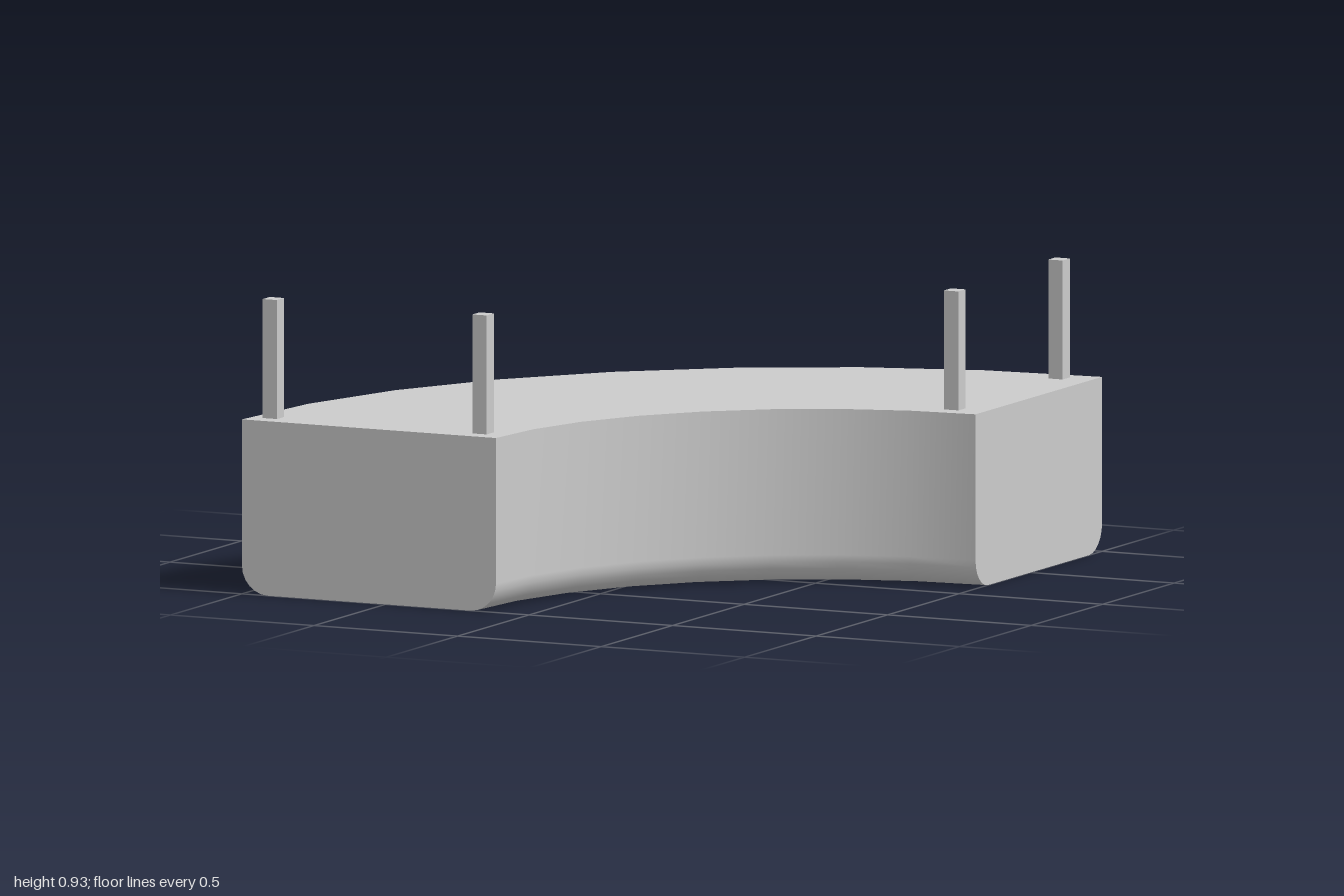
import * as THREE from 'three';

const INNER = 1.115, OUTER = 2, HEIGHT = 0.55, FILLET = 0.09, SEGMENTS = 8;

export function createModel() {
  const model = new THREE.Group();
  const material = new THREE.MeshStandardMaterial({ color: 0xcccccc });
  const add = (name, geometry) => {
    const mesh = new THREE.Mesh(geometry, material);
    mesh.name = name;
    model.add(mesh);
    return mesh;
  };

  // Cross-section (radius, height): inner wall down, rounded bottom, outer wall up
  const profile = [new THREE.Vector2(INNER, HEIGHT)];
  const corner = (cx, start) => {
    for (let i = 0; i <= 6; i++) {
      const a = start + (i / 6) * Math.PI / 2;
      profile.push(new THREE.Vector2(cx + FILLET * Math.cos(a), FILLET + FILLET * Math.sin(a)));
    }
  };
  corner(INNER + FILLET, Math.PI);
  corner(OUTER - FILLET, Math.PI * 1.5);
  profile.push(new THREE.Vector2(OUTER, HEIGHT));

  // Quarter-ring body swept around the corner at (1, 1)
  const sweep = (points) =>
    new THREE.LatheGeometry(points, SEGMENTS, Math.PI, Math.PI / 2).translate(1, 0, 1);
  add('curvedBody', sweep(profile));
  add('topSurface', sweep([new THREE.Vector2(OUTER, HEIGHT), new THREE.Vector2(INNER, HEIGHT)]));

  // Flat end faces, one facing the front and one facing the left
  const section = (sign) =>
    new THREE.ShapeGeometry(new THREE.Shape(profile.map((p) => new THREE.Vector2(sign * p.x, p.y))));
  add('frontEnd', section(-1).translate(1, 0, 1));
  add('leftEnd', section(1).rotateY(Math.PI / 2).translate(1, 0, 1));

  // Square posts standing near the corners of both ends
  const postHeight = 0.375;
  const postGeometry = new THREE.BoxGeometry(0.05, postHeight, 0.05);
  const posts = [[-0.93, 0.92], [-0.2, 0.92], [0.89, -0.19], [0.89, -0.92]];
  posts.forEach(([x, z], i) => {
    add(`post${i + 1}`, postGeometry).position.set(x, HEIGHT + postHeight / 2, z);
  });

  return model;
}
